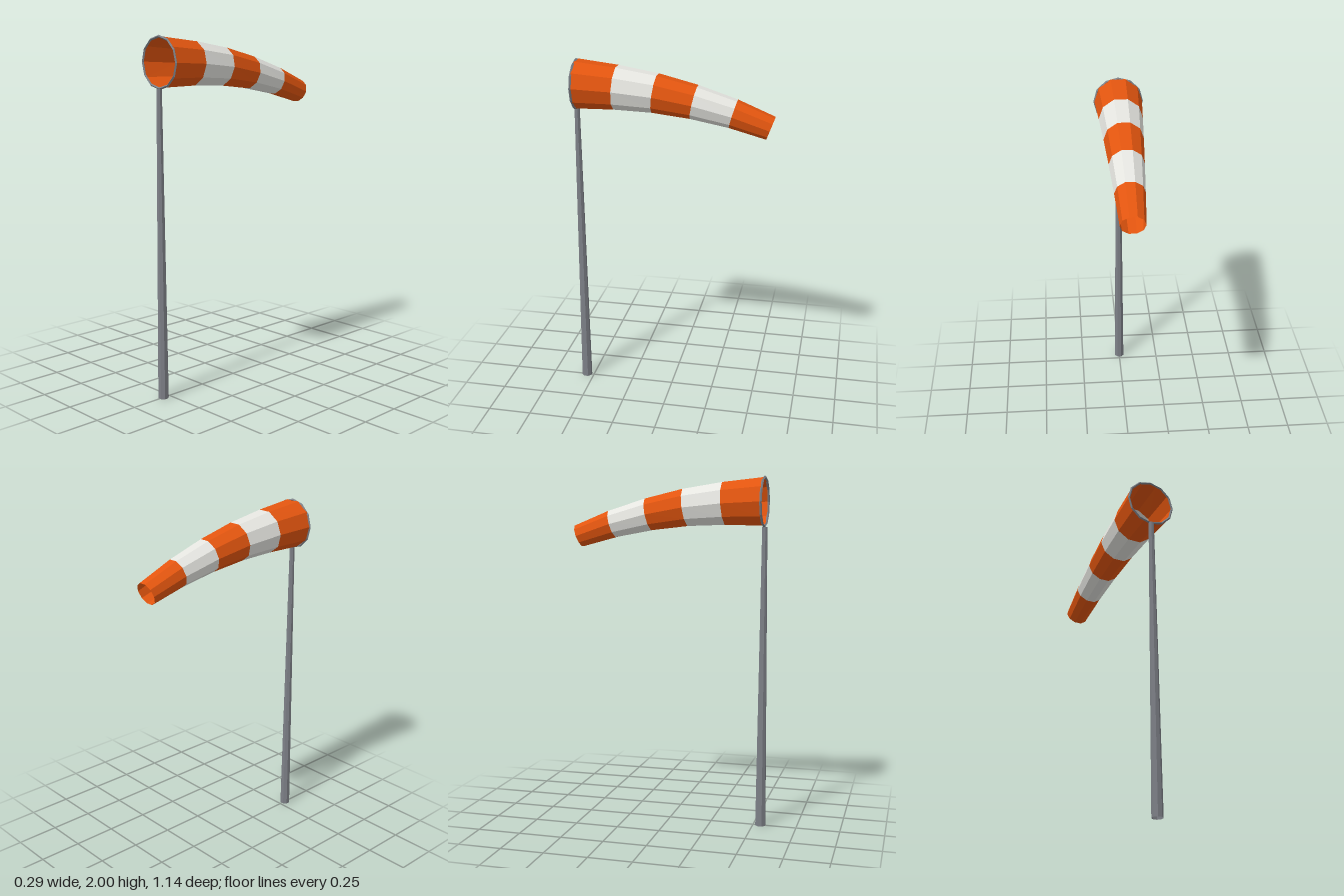
import * as THREE from 'three';

const material = (name, color) => {
  const m = new THREE.MeshStandardMaterial({ color, flatShading: true, side: THREE.DoubleSide });
  m.name = name;
  return m;
};

// One conical fabric band joining two ten-sided hoops
function bandGeometry(a, b, sides = 10) {
  const positions = [];
  const corner = (hoop, i) => {
    const t = (i / sides) * Math.PI * 2;
    const up = Math.sin(t) * hoop.r;
    return [
      Math.cos(t) * hoop.r,
      hoop.y + up * Math.cos(hoop.tilt),
      hoop.z - up * Math.sin(hoop.tilt),
    ];
  };
  for (let i = 0; i < sides; i++) {
    const a0 = corner(a, i), a1 = corner(a, i + 1);
    const b0 = corner(b, i), b1 = corner(b, i + 1);
    positions.push(...a0, ...b0, ...b1, ...a0, ...b1, ...a1);
  }
  const geo = new THREE.BufferGeometry();
  geo.setAttribute('position', new THREE.Float32BufferAttribute(positions, 3));
  geo.computeVertexNormals();
  return geo;
}

export function createModel() {
  const group = new THREE.Group();
  group.name = 'windsock';
  const orange = material('orange fabric', 0xe2550f);
  const white = material('white fabric', 0xe4e4df);
  const metal = material('grey metal', 0x7d8087);

  const add = (name, geo, mat, x, y, z) => {
    const mesh = new THREE.Mesh(geo, mat);
    mesh.name = name;
    mesh.position.set(x, y, z);
    group.add(mesh);
    return mesh;
  };

  // Tapered open pole
  const pole = new THREE.CylinderGeometry(0.015, 0.0305, 1.72, 8, 1, true);
  pole.rotateY(Math.PI / 8);
  add('pole', pole, metal, 0, 0.86, 0.543);

  // Mouth ring
  add('mouthRing', new THREE.TorusGeometry(0.1365, 0.007, 4, 12), metal, 0, 1.857, 0.54);

  // Drooping, narrowing sock: hoop centres along the bend
  const centres = [
    [0.538, 1.859], [0.315, 1.848], [0.093, 1.826],
    [-0.125, 1.787], [-0.343, 1.732], [-0.55, 1.662],
  ];
  const hoops = centres.map(([z, y], i) => ({
    z, y,
    r: 0.138 - 0.0142 * i,
    tilt: -THREE.MathUtils.degToRad(4 * i),
  }));
  // Tops of the hoops lean toward the tail
  hoops.forEach((h) => { h.tilt = Math.abs(h.tilt); });
  for (let i = 0; i < 5; i++) {
    add(`sockBand${i + 1}`, bandGeometry(hoops[i + 1], hoops[i]), i % 2 ? white : orange, 0, 0, 0);
  }
  return group;
}
